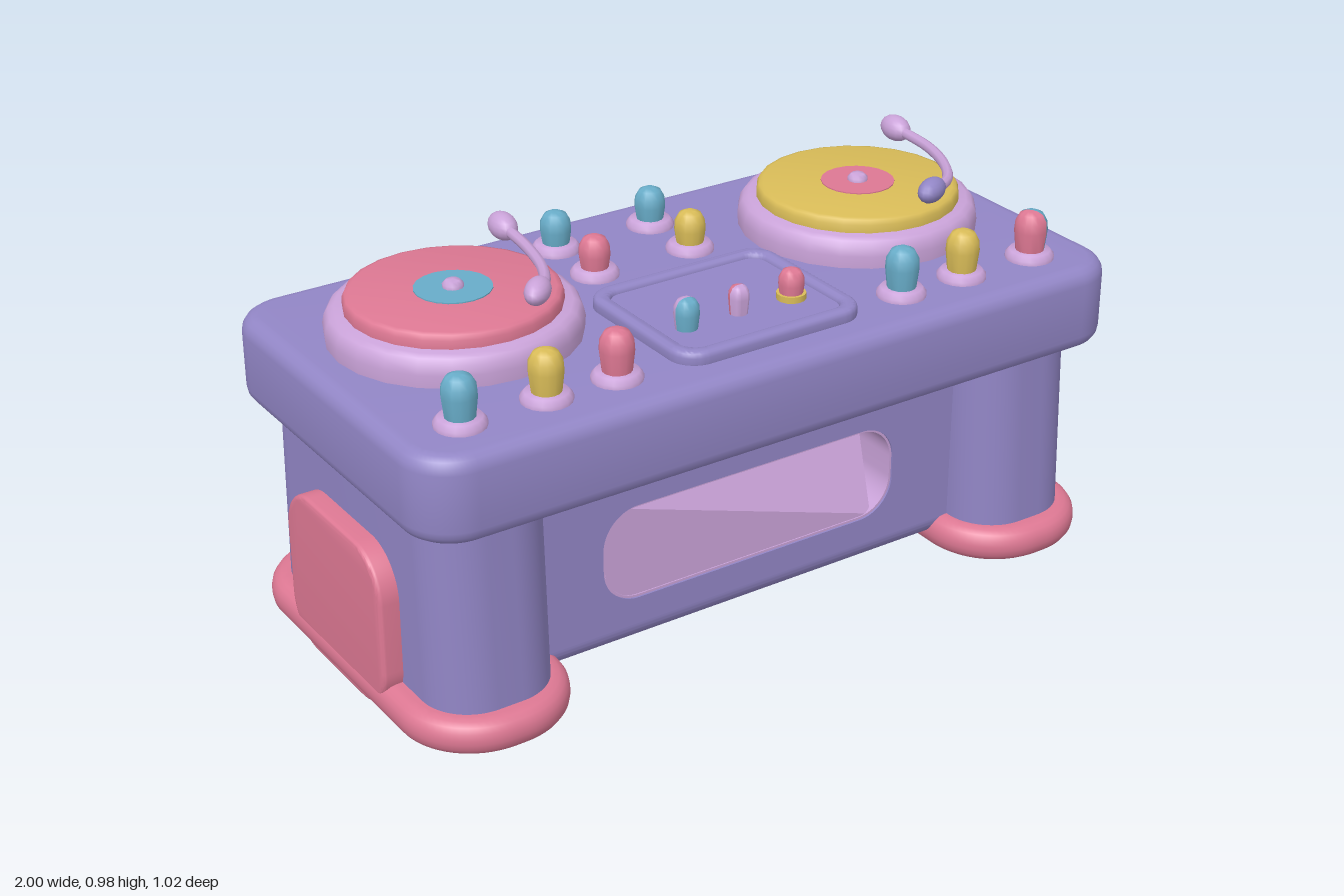
import * as THREE from 'three';
import { toCreasedNormals } from 'three/addons/utils/BufferGeometryUtils.js';

const mat = (name, color, side = THREE.FrontSide) => {
  const m = new THREE.MeshStandardMaterial({ color, side });
  m.name = name;
  return m;
};

// Rectangle with rounded corners, centred on (cx, cy)
function roundedRect(w, h, r, cx = 0, cy = 0) {
  const s = new THREE.Shape(), x = w / 2 - r, y = h / 2 - r;
  s.absarc(cx + x, cy + y, r, 0, Math.PI / 2);
  s.absarc(cx - x, cy + y, r, Math.PI / 2, Math.PI);
  s.absarc(cx - x, cy - y, r, Math.PI, Math.PI * 1.5);
  s.absarc(cx + x, cy - y, r, Math.PI * 1.5, Math.PI * 2);
  s.closePath();
  return s;
}

// Extrusion from z = 0 to z = depth with a soft bevel kept inside the outline
function softExtrude(shape, depth, bevel) {
  const g = new THREE.ExtrudeGeometry(shape, {
    depth: depth - 2 * bevel, bevelEnabled: bevel > 0, bevelThickness: bevel,
    bevelSize: bevel, bevelOffset: -bevel, bevelSegments: 4, curveSegments: 8,
  });
  g.translate(0, 0, bevel);
  return toCreasedNormals(g, 0.7);
}

// Horizontal slab standing on y = 0
const slab = (shape, h, bevel) => softExtrude(shape, h, bevel).rotateX(-Math.PI / 2);

const lathe = (pts, segs, start = 0, length = Math.PI * 2) => toCreasedNormals(
  new THREE.LatheGeometry(pts.map(p => new THREE.Vector2(...p)), segs, start, length).toNonIndexed(), 0.9);

export function createModel() {
  const root = new THREE.Group();
  root.name = 'turntableDesk';
  const purple = mat('purple', 0x9286c6);
  const rose = mat('rose', 0xdd7893);
  const lavender = mat('lavender', 0xcaa3d9, THREE.DoubleSide);
  const yellow = mat('yellow', 0xd9bc58);
  const blue = mat('blue', 0x68acc8);

  const add = (name, geo, material, x = 0, y = 0, z = 0, parent = root) => {
    const m = new THREE.Mesh(geo, material);
    m.name = name;
    m.position.set(x, y, z);
    parent.add(m);
    return m;
  };

  // Desk top
  add('deskTop', slab(roundedRect(2, 1.015, 0.13), 0.222, 0.04), purple, 0, 0.571, 0);

  // Legs, feet and side pads
  const legGeo = slab(roundedRect(0.325, 0.915, 0.13), 0.53, 0);
  const p = legGeo.attributes.position;
  for (let i = 0; i < p.count; i++) p.setZ(i, p.getZ(i) * (1 - 0.1 * p.getY(i)));
  for (const [side, s] of [['left', 1], ['right', -1]]) {
    add(side + 'Leg', legGeo, purple, s * 0.782, 0.06, 0);
    add(side + 'Foot', slab(roundedRect(0.43, 1.025, 0.2), 0.092, 0.04), rose, s * 0.785, 0, 0);
    const pad = softExtrude(roundedRect(0.475, 0.425, 0.12, 0, 0.222), 0.11, 0.012);
    pad.rotateY(s * Math.PI / 2);
    add(side + 'Pad', pad, rose, s * 0.887, 0, 0);
  }

  // Centre panel with a through opening, and its rounded bottom edge
  const half = 0.318;
  const opening = (grow) => roundedRect(0.87 + grow, 0.255 + grow, 0.1 + grow / 2, -0.005, 0.29);
  const panel = new THREE.Shape([[-0.68, 0.09], [0.68, 0.09], [0.68, 0.6], [-0.68, 0.6]]
    .map(q => new THREE.Vector2(...q)));
  panel.holes.push(opening(0));
  add('centrePanel', softExtrude(panel, half * 2, 0), purple, 0, 0, -half);
  const edge = new THREE.Shape();
  edge.moveTo(half, 0.09);
  edge.lineTo(-half, 0.09);
  edge.absarc(0.055 - half, 0.09, 0.055, Math.PI, Math.PI * 1.5);
  edge.absarc(half - 0.055, 0.09, 0.055, Math.PI * 1.5, Math.PI * 2);
  add('panelBottom', softExtrude(edge, 1.36, 0).rotateY(Math.PI / 2), purple, -0.68, 0, 0);

  // Lining of the opening, its rear wall and the folded front insert
  const ring = opening(0.01);
  ring.holes.push(opening(-0.012));
  add('openingLining', softExtrude(ring, half * 2 - 0.01, 0), lavender, 0, 0, 0.005 - half);
  add('openingBackWall', new THREE.ShapeGeometry(opening(0)), lavender, 0, 0, -0.14);
  const z = half - 0.008;
  const rimPoints = [[-0.37, 0.413, z], [-0.425, 0.37, z], [-0.438, 0.29, z], [-0.425, 0.215, z],
    [-0.37, 0.166, z], [0.37, 0.166, z], [0.428, 0.37, 0.17], [0.34, 0.415, 0.2]];
  const facets = [];
  for (let i = 1; i < rimPoints.length - 1; i++) facets.push(rimPoints[0], rimPoints[i], rimPoints[i + 1]);
  const fold = new THREE.BufferGeometry();
  fold.setAttribute('position', new THREE.Float32BufferAttribute(facets.flat(), 3));
  fold.computeVertexNormals();
  add('frontInsert', fold, lavender);

  // Turntables
  const deck = (name, x, z, record, label, headColour, arm) => {
    const g = new THREE.Group();
    g.name = name;
    g.position.set(x, 0, z);
    root.add(g);
    add('platter', lathe([[0.308, 0.785], [0.311, 0.825], [0.306, 0.848], [0.297, 0.862], [0.283, 0.869], [0, 0.87]], 24), lavender, 0, 0, 0, g);
    add('record', lathe([[0.262, 0.868], [0.262, 0.89], [0.256, 0.902], [0.245, 0.905], [0, 0.906]], 24), record, 0, 0, 0, g);
    add('label', new THREE.CylinderGeometry(0.095, 0.095, 0.006, 20), label, 0, 0.9055, 0, g);
    add('spindle', lathe([[0.026, 0.905], [0.026, 0.917], [0.017, 0.926], [0, 0.929]], 12), lavender, 0, 0, 0, g);

    // Tone arm with a rounded piece at each end
    const pts = arm.map(q => new THREE.Vector3(...q));
    add('toneArm', new THREE.TubeGeometry(new THREE.CatmullRomCurve3(pts), 16, 0.014, 8), lavender);
    const n = pts.length - 1;
    for (const [part, a, b, r, c] of [['counterweight', pts[0], pts[1], 0.034, lavender], ['armHead', pts[n], pts[n - 1], 0.031, headColour]]) {
      const ball = add(part, new THREE.SphereGeometry(1, 16, 10), c, a.x, a.y, a.z);
      ball.scale.set(r, r, 0.053);
      ball.rotation.y = Math.atan2(b.x - a.x, b.z - a.z);
    }
  };
  deck('rightTurntable', -0.603, -0.07, rose, blue, lavender,
    [[-0.35, 0.932, -0.27], [-0.366, 0.931, -0.13], [-0.4, 0.932, 0], [-0.445, 0.936, 0.085], [-0.49, 0.944, 0.13]]);
  deck('leftTurntable', 0.592, -0.07, yellow, rose, purple,
    [[0.865, 0.932, -0.26], [0.85, 0.931, -0.1], [0.8, 0.932, 0.03], [0.73, 0.936, 0.12], [0.65, 0.944, 0.16]]);

  // Knobs; the second colour, if any, covers the half starting at angle "turn"
  const knob = (name, x, z, r, y0, y1, colour, second, turn = 0) => {
    const k = r * 0.9;
    const profile = [[r * 0.82, y0], [r, y1 - k * 1.4], [r * 0.96, y1 - k * 0.75], [r * 0.7, y1 - k * 0.22], [r * 0.35, y1 - k * 0.03], [0, y1]];
    if (!second) return add(name, lathe(profile, 14), colour, x, 0, z);
    add(name + 'HalfA', lathe(profile, 8, turn + Math.PI, Math.PI), colour, x, 0, z);
    return add(name + 'HalfB', lathe(profile, 8, turn, Math.PI), second, x, 0, z);
  };
  const collar = lathe([[0.062, 0.79], [0.062, 0.803], [0.052, 0.815], [0, 0.816]], 18);
  const front = [[-0.83, blue], [-0.608, yellow], [-0.42, rose], [0.403, blue], [0.592, yellow], [0.813, rose, blue]];
  front.forEach(([x, c, c2], i) => {
    add('frontKnobCollar' + (i + 1), collar, lavender, x, 0, 0.358);
    knob('frontKnob' + (i + 1), x, 0.358, 0.042, 0.8, 0.92, c, c2, 0.5);
  });
  const back = [[-0.155, -0.345, blue], [0.13, -0.345, blue], [-0.155, -0.16, rose], [0.13, -0.16, yellow]];
  back.forEach(([x, z, c], i) => {
    add('backKnobCollar' + (i + 1), collar, lavender, x, 0, z);
    knob('backKnob' + (i + 1), x, z, 0.04, 0.8, 0.9, c);
  });

  // Mixer tray: raised rim around a shallow sunken floor
  const rim = roundedRect(0.53, 0.45, 0.07);
  rim.holes.push(roundedRect(0.45, 0.37, 0.04));
  add('mixerRim', slab(rim, 0.045, 0.015), purple, -0.005, 0.78, 0.19);
  add('mixerFloor', slab(roundedRect(0.47, 0.39, 0.05), 0.028, 0), purple, -0.005, 0.783, 0.19);

  // Mixer buttons
  knob('mixerButton1', -0.16, 0.255, 0.032, 0.8, 0.89, lavender, blue, -Math.PI / 2);
  knob('mixerButton2', -0.01, 0.255, 0.026, 0.8, 0.885, rose, lavender, -Math.PI / 2);
  knob('mixerButton3', 0.145, 0.255, 0.032, 0.8, 0.89, rose);
  add('mixerButtonBase', new THREE.CylinderGeometry(0.037, 0.037, 0.022, 14), yellow, 0.145, 0.816, 0.255);

  return root;
}
